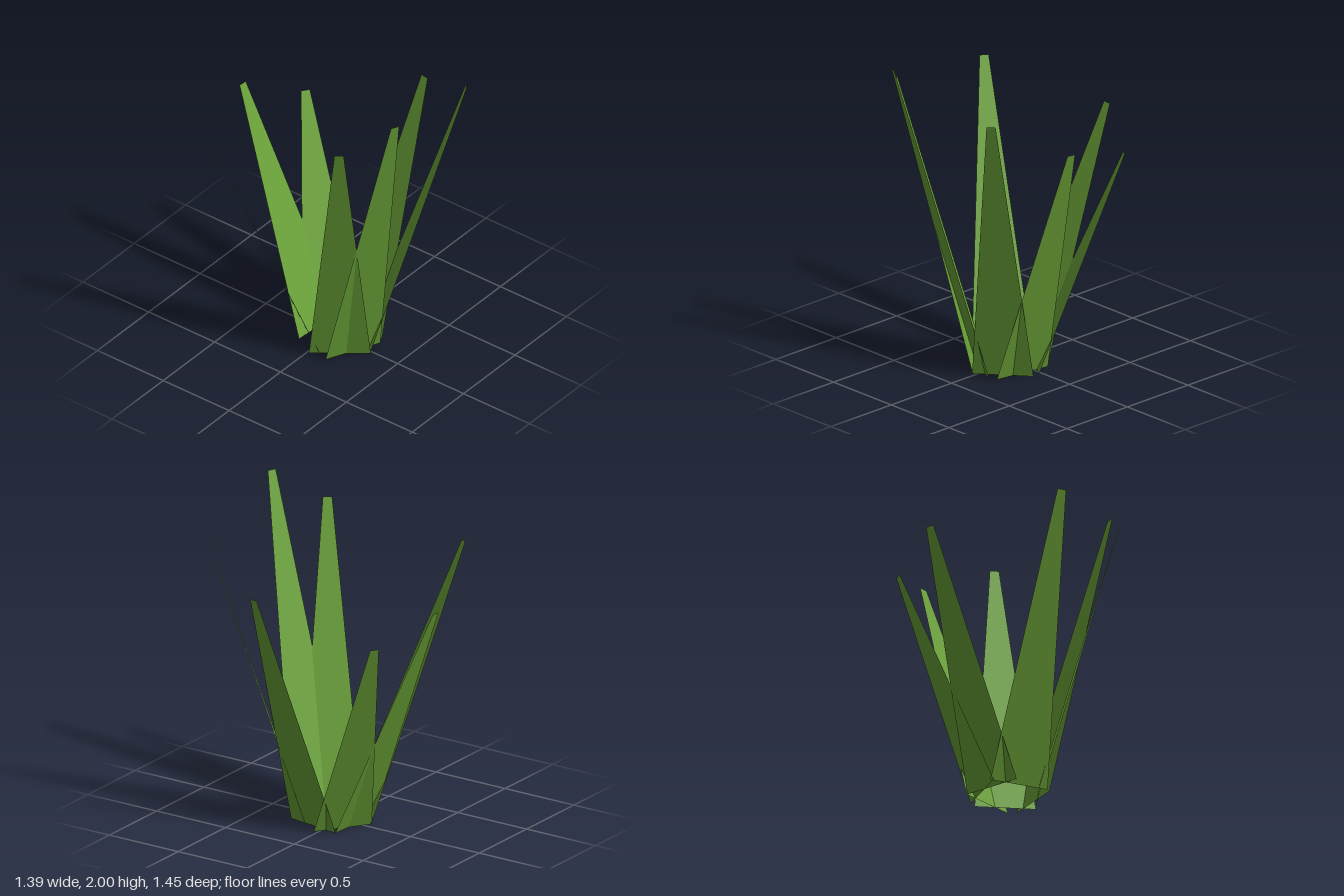
import * as THREE from 'three';

const BASE_WIDTH = 0.37;
const TIP_WIDTH = 0.055;

// Each blade: base centre x, z, tip centre x, z, height
const BLADES = [
  [0.02, -0.108, 0.063, -0.726, 1.49],
  [0.107, -0.082, 0.419, -0.527, 1.325],
  [0.177, 0.083, 0.689, 0.167, 1.58],
  [0.119, 0.19, 0.489, 0.641, 1.835],
  [-0.065, 0.211, -0.292, 0.708, 2.0],
  [-0.129, 0.162, -0.52, 0.46, 1.81],
  [-0.13, -0.043, -0.68, -0.419, 1.665],
];

// A flat tapered leaf leaning outward, its width square to the lean
function bladeGeometry([bx, bz, tx, tz, height]) {
  const lean = new THREE.Vector2(tx - bx, tz - bz).normalize();
  const geometry = new THREE.PlaneGeometry(1, 1);
  const pos = geometry.attributes.position;
  for (let i = 0; i < pos.count; i++) {
    const t = pos.getY(i) + 0.5;
    const offset = pos.getX(i) * THREE.MathUtils.lerp(BASE_WIDTH, TIP_WIDTH, t);
    pos.setXYZ(
      i,
      THREE.MathUtils.lerp(bx, tx, t) + lean.y * offset,
      height * t,
      THREE.MathUtils.lerp(bz, tz, t) - lean.x * offset
    );
  }
  geometry.computeVertexNormals();
  return geometry;
}

export function createModel() {
  const group = new THREE.Group();
  group.name = 'grassTuft';

  const leafGreen = new THREE.MeshStandardMaterial({
    color: 0x6aa238, side: THREE.DoubleSide, flatShading: true,
  });
  leafGreen.name = 'leafGreen';

  // Ring of blades fanning outward
  BLADES.forEach((blade, i) => {
    const mesh = new THREE.Mesh(bladeGeometry(blade), leafGreen);
    mesh.name = `blade${i + 1}`;
    group.add(mesh);
  });

  return group;
}
